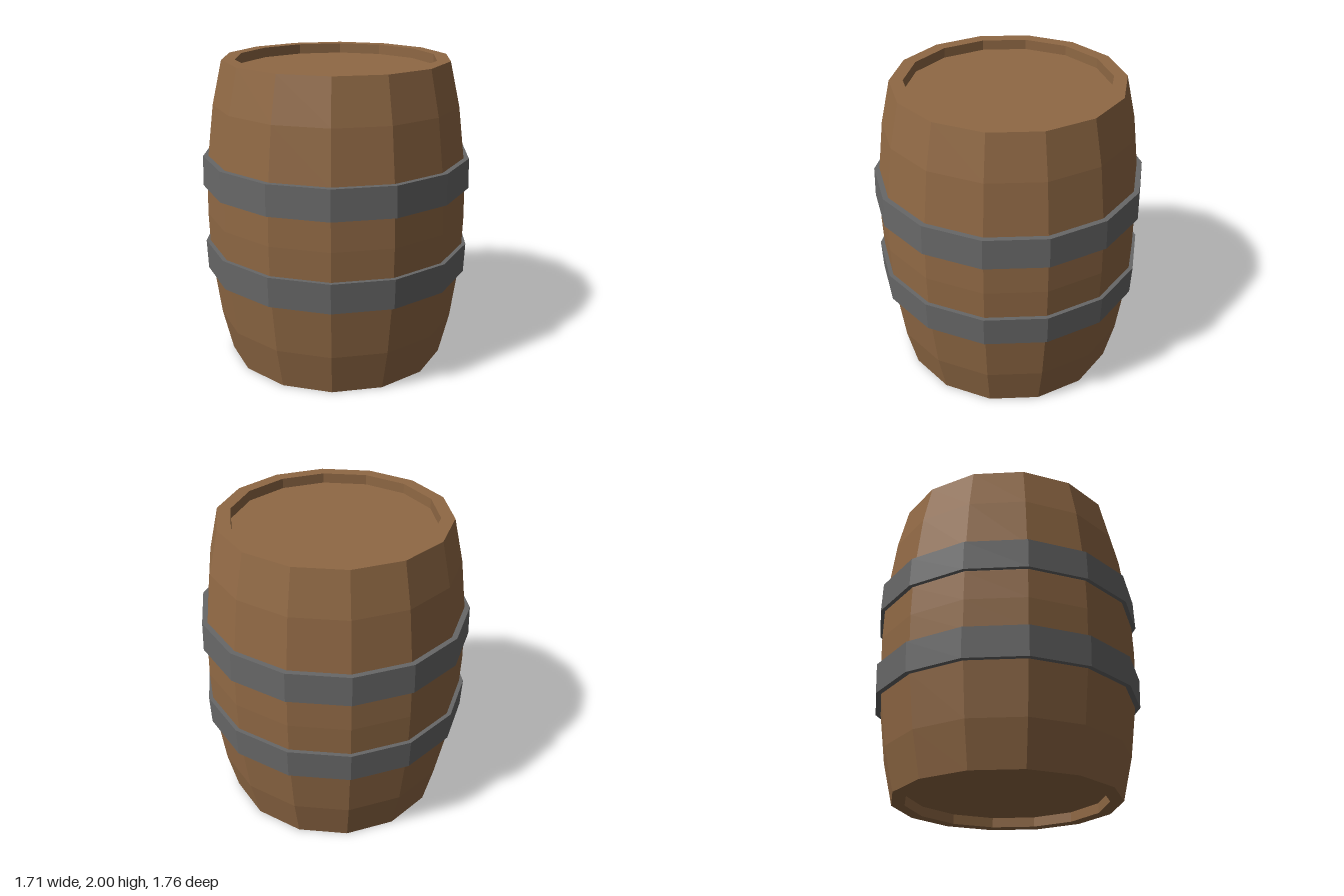
import * as THREE from 'three';

const SIDES = 14;

// Faceted solid of revolution from [radius, height] pairs
function turned(name, profile, material) {
  const points = profile.map(([r, y]) => new THREE.Vector2(r, y));
  const geometry = new THREE.LatheGeometry(points, SIDES).toNonIndexed();
  geometry.computeVertexNormals();
  const mesh = new THREE.Mesh(geometry, material);
  mesh.name = name;
  return mesh;
}

export function createModel() {
  const wood = new THREE.MeshStandardMaterial({ color: 0x8f6844 });
  wood.name = 'wood';
  const iron = new THREE.MeshStandardMaterial({ color: 0x676767 });
  iron.name = 'iron';

  const barrel = new THREE.Group();
  barrel.name = 'barrel';

  // Bulging staves with a rim at both ends; the upper half mirrors the lower
  const lower = [[0.645, 0.065], [0.645, 0], [0.73, 0], [0.795, 0.28], [0.839, 0.62], [0.852, 0.81]];
  const upper = lower.map(([r, y]) => [r, 2 - y]).reverse();
  barrel.add(turned('staves', [...lower, [0.857, 1], ...upper], wood));

  // Recessed end boards
  barrel.add(turned('bottomHead', [[0, 0.065], [0.645, 0.065]], wood));
  barrel.add(turned('topHead', [[0.645, 1.935], [0, 1.935]], wood));

  // Two hoops, each slightly wider towards the belly
  const hoop = [[0.8, 0.615], [0.872, 0.615], [0.879, 0.81], [0.8, 0.81]];
  barrel.add(turned('lowerHoop', hoop, iron));
  barrel.add(turned('upperHoop', hoop.map(([r, y]) => [r, 2.005 - y]).reverse(), iron));

  return barrel;
}
